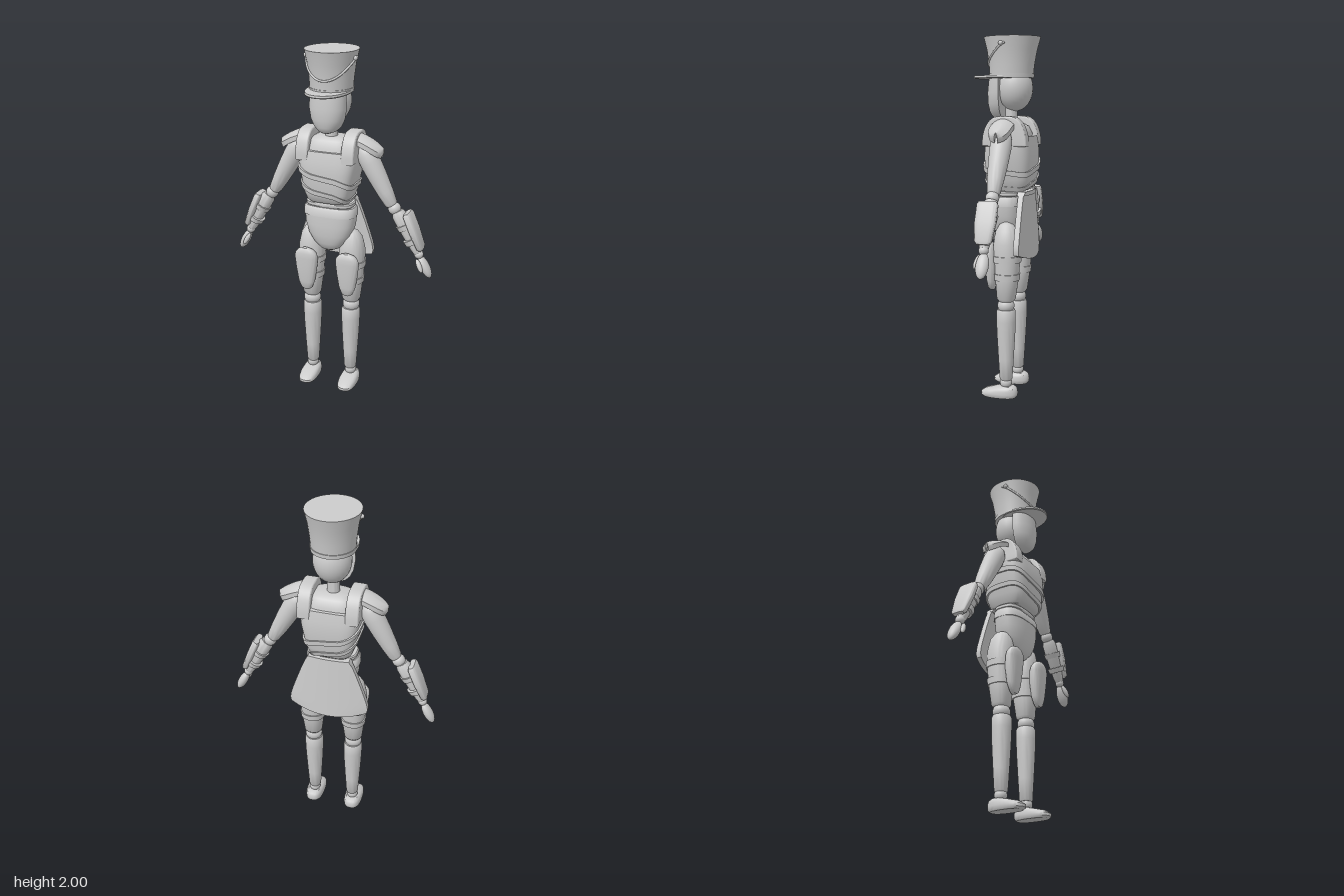
import * as THREE from 'three';
import { toCreasedNormals } from 'three/addons/utils/BufferGeometryUtils.js';

const MAT = new THREE.MeshStandardMaterial({ color: 0xcccccc });
const N = 40;
const ZC = -0.03; // depth of the limb axes

function add(parent, name, geo, x = 0, y = 0, z = 0) {
  const m = new THREE.Mesh(geo, MAT);
  m.name = name;
  m.position.set(x, y, z);
  parent.add(m);
  return m;
}
// Section: [y, halfWidth, zFront, zBack]; interpolated at height y
function at(secs, y) {
  let i = 0;
  while (i < secs.length - 2 && y > secs[i + 1][0]) i++;
  const a = secs[i], b = secs[i + 1];
  const t = THREE.MathUtils.clamp((y - a[0]) / (b[0] - a[0]), 0, 1);
  return a.map((v, k) => v + (b[k] - v) * t);
}
// Point on a superellipse section
function point(s, a, e = 2, zc = (s[2] + s[3]) / 2, grow = 0, y = s[0]) {
  const p = v => Math.sign(v) * Math.pow(Math.abs(v), 2 / e);
  const c = Math.cos(a), n = Math.sin(a);
  const depth = n > 0 ? s[2] - zc : zc - s[3];
  return new THREE.Vector3((s[1] + grow) * p(c), y, zc + (depth + grow) * p(n));
}
const angle = j => (j / N) * Math.PI * 2;
// Skin a stack of closed rings
function skin(rings, caps = true) {
  const pos = [], idx = [], n = rings[0].length, last = (rings.length - 1) * n;
  rings.forEach(r => r.forEach(p => pos.push(p.x, p.y, p.z)));
  for (let r = 0; r < rings.length - 1; r++)
    for (let j = 0; j < n; j++) {
      const a = r * n + j, b = r * n + (j + 1) % n;
      idx.push(a, a + n, b, b, a + n, b + n);
    }
  if (caps) {
    const total = rings.length * n;
    [rings[0], rings[rings.length - 1]].forEach(r => {
      const c = r.reduce((s, p) => s.add(p), new THREE.Vector3()).divideScalar(n);
      pos.push(c.x, c.y, c.z);
    });
    for (let j = 0; j < n; j++) {
      const k = (j + 1) % n;
      idx.push(total, j, k, total + 1, last + k, last + j);
    }
  }
  const g = new THREE.BufferGeometry();
  g.setAttribute('position', new THREE.Float32BufferAttribute(pos, 3));
  g.setIndex(idx);
  return toCreasedNormals(g, 0.7);
}
function loft(secs, e = 2, zc) {
  return skin(secs.map(s => Array.from({ length: N }, (_, j) => point(s, angle(j), e, zc))));
}
// Strap wrapped round a lofted body, its height given by a rule
function wrap(secs, e, rule, h, t) {
  const loop = (dy, grow) => Array.from({ length: N }, (_, j) => {
    const a = angle(j), y = rule(a) + dy;
    return point(at(secs, y), a, e, undefined, grow, y);
  });
  return skin([loop(-h, t), loop(h, t), loop(h, -t), loop(-h, -t), loop(-h, t)], false);
}
// Turned part from [radius, y] pairs, bottom to top
function turned(pairs) {
  const g = new THREE.LatheGeometry(pairs.map(p => new THREE.Vector2(...p)), 28);
  return toCreasedNormals(g, 0.7);
}
function ball(rx, ry = rx, rz = rx) {
  return new THREE.SphereGeometry(1, 28, 18).scale(rx, ry, rz);
}
// Subdivided slab with every vertex moved by a rule
function slab(nx, ny, nz, rule) {
  const g = new THREE.BoxGeometry(1, 1, 1, nx, ny, nz), p = g.attributes.position;
  for (let i = 0; i < p.count; i++) p.setXYZ(i, ...rule(p.getX(i), p.getY(i), p.getZ(i)));
  return toCreasedNormals(g, 0.7);
}

function head(root) {
  const g = new THREE.Group();
  g.name = 'head';
  root.add(g);
  add(g, 'skull', ball(0.102, 0.125, 0.098), 0, 1.725, -0.047);
  add(g, 'face', loft([[1.565, 0.03, 0.07, 0.02], [1.575, 0.052, 0.085, 0.02], [1.6, 0.076, 0.096, 0.02],
    [1.64, 0.094, 0.103, 0.02], [1.7, 0.104, 0.105, 0.02], [1.79, 0.1, 0.095, 0.02]], 2.2, 0.021));
  add(g, 'neck', turned([[0.035, 1.5], [0.032, 1.64]]), 0, 0, -0.025);
  // Tall flared hat with peak, band and cord
  const hat = [[1.78, 0.115, 0.096, -0.146], [1.85, 0.12, 0.098, -0.152],
    [1.93, 0.13, 0.11, -0.167], [2, 0.145, 0.128, -0.187]];
  add(g, 'hat', loft(hat));
  add(g, 'hatBand', wrap(hat, 2, () => 1.791, 0.011, 0.004));
  add(g, 'hatPeak', loft([[1.777, 0.117, 0.185, -0.08], [1.782, 0.121, 0.189, -0.08],
    [1.793, 0.119, 0.187, -0.08]], 2.1, 0));
  const cord = Array.from({ length: 25 }, (_, i) => {
    const a = (i / 24) * Math.PI, y = 1.965 - 0.115 * Math.abs(Math.sin(a)) ** 1.2;
    return point(at(hat, y), a, 2, undefined, 0.003);
  });
  add(g, 'hatCord', new THREE.TubeGeometry(new THREE.CatmullRomCurve3(cord), 60, 0.006, 8));
  for (const s of [-1, 1]) add(g, 'cordButton', ball(0.013), s * 0.138, 1.96, -0.005);
}

function torso(root) {
  const g = new THREE.Group();
  g.name = 'torso';
  root.add(g);
  const vest = [[1.17, 0.11, 0.07, -0.13], [1.185, 0.12, 0.088, -0.145], [1.23, 0.137, 0.1, -0.157],
    [1.35, 0.16, 0.105, -0.165], [1.41, 0.167, 0.1, -0.16], [1.465, 0.167, 0.088, -0.15]];
  add(g, 'vest', loft(vest, 4));
  add(g, 'chest', loft([[1.4, 0.13, 0.08, -0.14], [1.48, 0.125, 0.07, -0.13],
    [1.52, 0.11, 0.05, -0.11], [1.535, 0.08, 0.03, -0.085]], 3.5));
  // Shoulder straps: side profile of the vest, pushed sideways
  const shape = new THREE.Shape();
  shape.moveTo(0.086, 1.42);
  shape.splineThru([[0.082, 1.47], [0.062, 1.525], [0.025, 1.56], [-0.03, 1.566], [-0.085, 1.56],
    [-0.122, 1.525], [-0.142, 1.47], [-0.147, 1.42]].map(p => new THREE.Vector2(...p)));
  const strap = toCreasedNormals(new THREE.ExtrudeGeometry(shape, { depth: 0.056, bevelSize: 0.008,
    bevelThickness: 0.008, bevelSegments: 3, curveSegments: 4 }).rotateY(-Math.PI / 2).translate(0.028, 0, 0), 0.6);
  for (const s of [-1, 1]) add(g, 'shoulderStrap', strap, s * 0.131);
  // Diagonal sashes
  const sash = (y0, drop) => a => y0 - 0.05 * Math.cos(a) - drop * Math.max(0, -Math.sin(a));
  add(g, 'upperSash', wrap(vest, 4, sash(1.32, 0.035), 0.014, 0.009));
  add(g, 'lowerSash', wrap(vest, 4, sash(1.23, 0.02), 0.013, 0.008));
  add(g, 'abdomen', loft([[1.08, 0.125, 0.045, -0.1], [1.14, 0.105, 0.04, -0.095], [1.22, 0.105, 0.055, -0.11]], 2.6));
  add(g, 'pelvis', loft([[0.87, 0.025, 0.02, -0.06], [0.885, 0.058, 0.04, -0.075], [0.92, 0.095, 0.055, -0.092],
    [0.97, 0.125, 0.065, -0.1], [1.03, 0.143, 0.068, -0.105], [1.085, 0.149, 0.066, -0.105]], 2.6));
  add(g, 'hipBelt', loft([[1.085, 0.151, 0.068, -0.107], [1.125, 0.15, 0.064, -0.105], [1.137, 0.142, 0.055, -0.098]], 3));
  add(g, 'waistBelt', loft([[1.138, 0.132, 0.052, -0.1], [1.144, 0.138, 0.057, -0.105],
    [1.16, 0.138, 0.057, -0.105], [1.166, 0.132, 0.052, -0.1]], 3));
  // Flared, gently curved skirt plate at the back
  const width = v => 0.115 + 0.125 * Math.pow(v, 0.85) - 0.02 * Math.pow(v, 14);
  const plate = (length, thick) => slab(18, 14, 1, (x, y, z) => {
    const u = x * 2, v = length * Math.max(0, 0.5 - y);
    return [u * width(v), 1.165 - 0.375 * v + 0.04 * v * u * u,
      -0.125 - 0.025 * v + (0.01 + 0.024 * v) * u * u + z * thick];
  });
  add(g, 'backSkirt', plate(1, 0.03));
  add(g, 'skirtRim', plate(0.06, 0.042));
}

function arm(root, s) {
  const g = new THREE.Group();
  g.name = s > 0 ? 'leftArm' : 'rightArm';
  g.position.set(s * 0.2, 1.46, ZC);
  g.rotation.z = s * 0.503;
  root.add(g);
  add(g, 'upperArm', turned([[0.0, -0.325], [0.03, -0.323], [0.036, -0.31], [0.045, -0.24], [0.053, -0.15],
    [0.058, -0.06], [0.056, -0.01], [0.045, 0.025], [0.025, 0.045], [0, 0.05]]), -s * 0.006);
  add(g, 'elbow', ball(0.036), 0, -0.345);
  add(g, 'forearm', turned([[0, -0.63], [0.024, -0.625], [0.029, -0.6], [0.04, -0.45], [0.041, -0.39],
    [0.032, -0.365], [0, -0.36]]), s * 0.008);
  for (const y of [-0.55, -0.46])
    add(g, 'forearmBand', turned([[0.03, y - 0.016], [0.045, y - 0.015], [0.049, y + 0.015], [0.03, y + 0.016]]), s * 0.01);
  // Bracer leans in towards the wrist, pivoting at its middle
  const bracer = add(g, 'bracer', loft([[-0.115, 0.012, 0.032, -0.032], [-0.1, 0.018, 0.045, -0.045],
    [0, 0.022, 0.057, -0.057], [0.095, 0.022, 0.056, -0.056], [0.11, 0.016, 0.048, -0.048]], 3.5), s * 0.048, -0.5);
  bracer.rotation.z = -s * 0.1;
  add(g, 'wrist', ball(0.026), s * 0.008, -0.635);
  add(g, 'hand', ball(0.026, 0.07, 0.034), s * 0.006, -0.715, -0.004);
  add(g, 'thumb', ball(0.014, 0.04, 0.014), -s * 0.008, -0.69, 0.032).rotation.x = -0.25;
  // Petal-shaped shoulder plate arching over the arm
  const p = add(root, 'shoulderPlate', slab(18, 2, 12, (x, y, z) => {
    const t = Math.max(0, x + 0.5), w = z * 2;
    const half = 0.062 * Math.sqrt(Math.max(0.02, 1 - Math.pow(t, 5)));
    return [0.12 + 0.172 * t + y * 0.012 * t, 1.555 - 0.078 * Math.pow(t, 1.7) - 0.028 * w * w + y * 0.026, w * half];
  }), 0, 0, ZC + 0.004);
  if (s < 0) p.rotation.y = Math.PI;
}

function leg(root, s) {
  const g = new THREE.Group();
  g.name = s > 0 ? 'leftLeg' : 'rightLeg';
  g.position.x = s * 0.122;
  root.add(g);
  const thigh = [[0.555, 0.042, 0.008, -0.072], [0.57, 0.052, 0.02, -0.084], [0.68, 0.064, 0.028, -0.1],
    [0.8, 0.074, 0.036, -0.11], [0.88, 0.074, 0.037, -0.11], [0.95, 0.058, 0.025, -0.095],
    [0.985, 0.035, 0.005, -0.07], [1.0, 0.01, -0.02, -0.045]];
  add(g, 'thigh', loft(thigh, 2.2));
  for (const y of [0.695, 0.795]) add(g, 'thighBand', wrap(thigh, 2.2, () => y, 0.018, 0.006));
  add(g, 'thighPad', loft([[0.618, 0.015, 0.06, 0.035], [0.63, 0.032, 0.068, 0.032], [0.67, 0.048, 0.075, 0.022],
    [0.75, 0.061, 0.082, 0.015], [0.82, 0.068, 0.085, 0.02], [0.85, 0.064, 0.085, 0.03],
    [0.872, 0.045, 0.08, 0.04], [0.882, 0.018, 0.074, 0.05]], 2.6), s * 0.002);
  add(g, 'knee', ball(0.05, 0.045, 0.047), 0, 0.53, ZC);
  add(g, 'shin', turned([[0, 0.098], [0.031, 0.1], [0.036, 0.108], [0.043, 0.22], [0.051, 0.36], [0.054, 0.44],
    [0.054, 0.495], [0.048, 0.508], [0, 0.51]]), -s * 0.002, 0, ZC);
  add(g, 'ankle', ball(0.034), 0, 0.085, ZC);
  add(g, 'foot', loft([[0, 0.046, 0.1, -0.086], [0.01, 0.053, 0.113, -0.096], [0.025, 0.054, 0.113, -0.098],
    [0.042, 0.052, 0.088, -0.096], [0.056, 0.046, 0.035, -0.09], [0.066, 0.034, 0, -0.075]], 2.6), s * 0.002);
}

export function createModel() {
  const root = new THREE.Group();
  root.name = 'toySoldier';
  head(root);
  torso(root);
  for (const s of [-1, 1]) {
    arm(root, s);
    leg(root, s);
  }
  return root;
}
